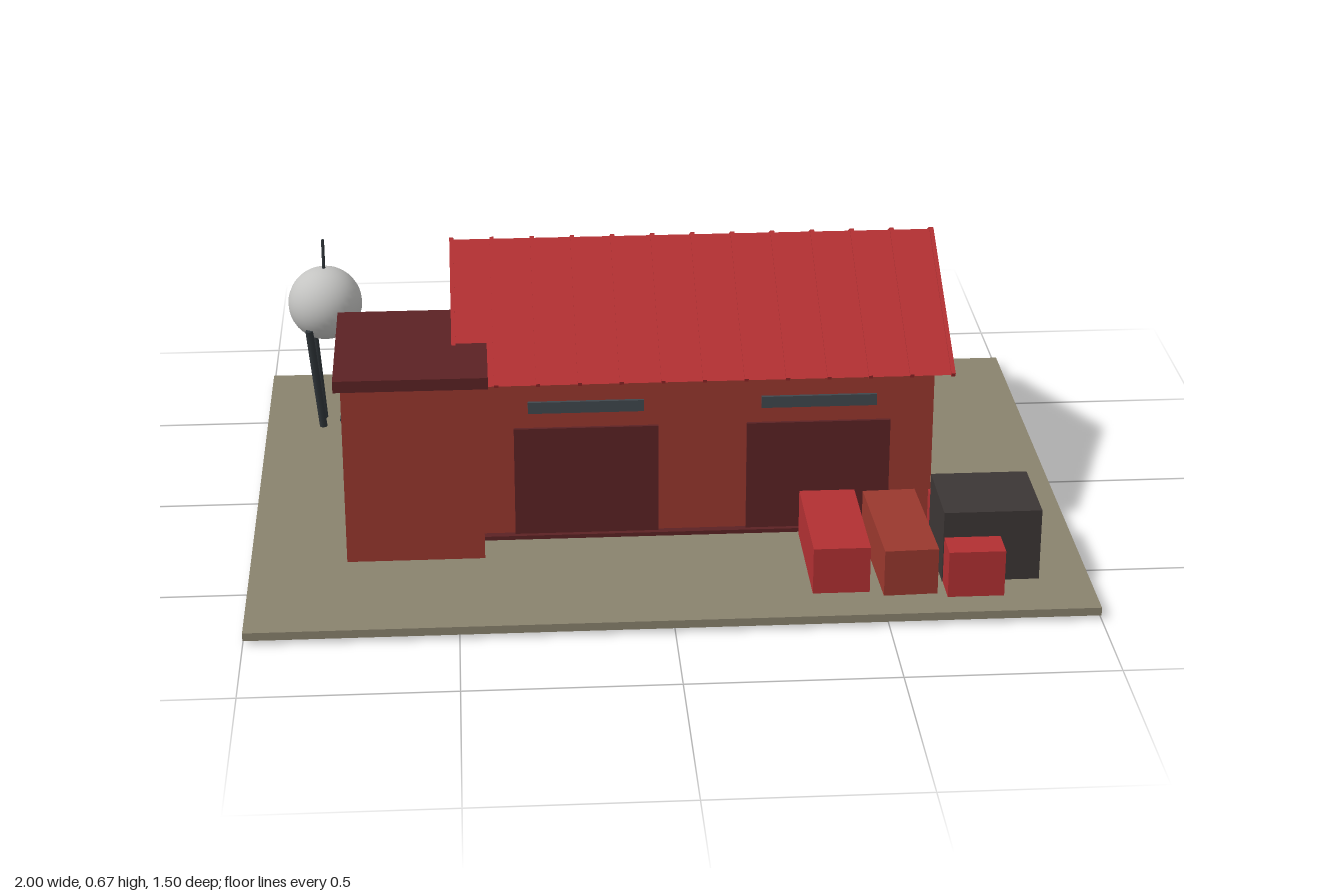
import * as THREE from 'three';

const paint = (name, color) => {
  const m = new THREE.MeshStandardMaterial({ color });
  m.name = name;
  return m;
};

export function createModel() {
  const model = new THREE.Group();
  model.name = 'depot';

  const ground = paint('olive ground', 0x8a836e);
  const brick = paint('brick red', 0x9a382e);
  const red = paint('roof red', 0xb23032);
  const maroon = paint('maroon', 0x5c2224);
  const glass = paint('dark glass', 0x40484e);
  const charcoal = paint('charcoal', 0x3c3635);
  const steel = paint('dark steel', 0x30363a);
  const silver = paint('silver', 0xc4c4c2);

  const add = (name, geometry, material, parent = model) => {
    const mesh = new THREE.Mesh(geometry, material);
    mesh.name = name;
    parent.add(mesh);
    return mesh;
  };
  // Box given by its lower and upper corners
  const box = (name, material, [x0, y0, z0], [x1, y1, z1], parent) => {
    const mesh = add(name, new THREE.BoxGeometry(x1 - x0, y1 - y0, z1 - z0), material, parent);
    mesh.position.set((x0 + x1) / 2, (y0 + y1) / 2, (z0 + z1) / 2);
    return mesh;
  };
  // Cylinder between two points
  const rod = (name, material, a, b, r, parent) => {
    const dir = b.clone().sub(a);
    const mesh = add(name, new THREE.CylinderGeometry(r, r, dir.length(), 8), material, parent);
    mesh.position.copy(a).lerp(b, 0.5);
    mesh.quaternion.setFromUnitVectors(new THREE.Vector3(0, 1, 0), dir.normalize());
    return mesh;
  };

  box('groundSlab', ground, [-1, 0.01, -0.75], [1, 0.03, 0.75]);

  // Main hall with plinth
  const hall = new THREE.Group();
  hall.name = 'hall';
  model.add(hall);
  box('hallWalls', brick, [-0.44, 0.02, -0.48], [0.66, 0.446, 0.285], hall);
  box('plinth', maroon, [-0.46, 0.02, -0.505], [0.68, 0.04, 0.305], hall);

  // Gable roof: brick ends, red slopes
  const midZ = -0.1, run = 0.42, eave = 0.446, rise = 0.218;
  const gable = new THREE.Shape([
    new THREE.Vector2(-run, 0), new THREE.Vector2(run, 0), new THREE.Vector2(0, rise),
  ]);
  const roof = add('gableRoof',
    new THREE.ExtrudeGeometry(gable, { depth: 1.2, bevelEnabled: false }), [brick, red], hall);
  roof.rotation.y = Math.PI / 2;
  roof.position.set(-0.5, eave, midZ);

  // Raised seams on both slopes
  const slope = Math.atan2(rise, run);
  for (let i = 0; i <= 12; i++) {
    for (const side of [-1, 1]) {
      const seam = add('roofSeam', new THREE.BoxGeometry(0.01, 0.01, Math.hypot(run, rise)), red, hall);
      seam.position.set(-0.5 + i * 0.1, eave + rise / 2, midZ + side * run / 2);
      seam.rotation.x = side * slope;
    }
  }

  // Front doors with strip windows above
  for (const x of [-0.185, 0.38]) {
    box('door', maroon, [x - 0.175, 0.03, 0.284], [x + 0.175, 0.32, 0.293], hall);
    box('stripWindow', glass, [x - 0.14, 0.36, 0.284], [x + 0.14, 0.389, 0.293], hall);
  }
  // Rear windows
  for (let i = 0; i < 5; i++) {
    const x = -0.338 + i * 0.192;
    box('rearWindow', glass, [x - 0.045, 0.335, -0.488], [x + 0.045, 0.381, -0.479], hall);
  }

  // Side annex with flat roof
  box('annexWalls', brick, [-0.768, 0.009, 0], [-0.436, 0.48, 0.4]);
  box('annexRoof', maroon, [-0.785, 0.48, -0.02], [-0.42, 0.509, 0.413]);

  // Containers and crate
  box('container', red, [0.333, 0.02, 0.315], [0.468, 0.146, 0.635]);
  box('container', brick, [0.493, 0.02, 0.323], [0.621, 0.146, 0.655]).rotation.y = 0.035;
  box('container', red, [0.648, 0.02, 0.325], [0.782, 0.146, 0.673]);
  box('crate', charcoal, [0.646, 0.02, 0.374], [0.879, 0.21, 0.592]);

  // Spherical tank on three splayed legs
  const tank = new THREE.Group();
  tank.name = 'tank';
  tank.position.set(-0.835, 0, -0.435);
  model.add(tank);
  add('tankSphere', new THREE.SphereGeometry(0.096, 32, 20), silver, tank).position.y = 0.37;
  rod('mast', steel, new THREE.Vector3(0, 0.45, 0), new THREE.Vector3(0, 0.545, 0), 0.004, tank);
  for (let i = 0; i < 3; i++) {
    const a = (i * Math.PI * 2) / 3;
    const at = (r, y) => new THREE.Vector3(r * Math.cos(a), y, r * Math.sin(a));
    rod('leg', steel, at(0.03, 0.002), at(0.083, 0.32), 0.01, tank);
  }

  return model;
}
